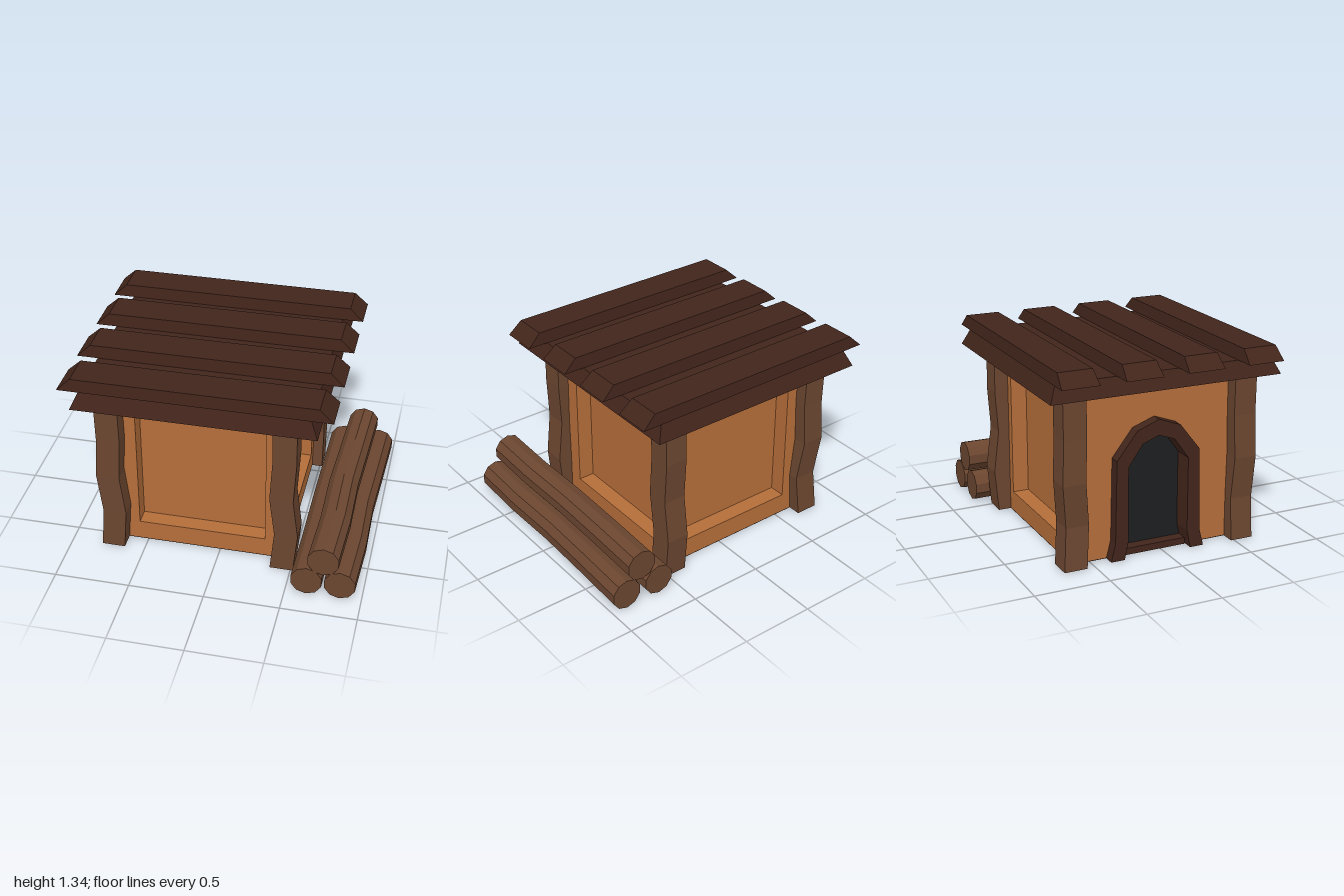
import * as THREE from 'three';

const mat = (color) => new THREE.MeshStandardMaterial({ color, flatShading: true });
const CX = -0.125, CZ = -0.055; // centre of the hut
const HALF = 0.57, DEPTH = 0.11; // half width of the hut, wall thickness

export function createModel() {
  const model = new THREE.Group();
  const plaster = mat(0xb56e3a), timber = mat(0x6b4630), dark = mat(0x42251b), black = mat(0x1c1e20);

  const add = (name, geometry, material, x = 0, y = 0, z = 0, turn = 0) => {
    const mesh = new THREE.Mesh(geometry, material);
    mesh.name = name;
    mesh.position.set(x, y, z);
    mesh.rotation.y = turn;
    model.add(mesh);
    return mesh;
  };

  // Box whose top is inset by tx and tz on each side
  const taperedBox = (w, h, d, tx, tz) => {
    const g = new THREE.BoxGeometry(w, h, d), p = g.attributes.position;
    for (let i = 0; i < p.count; i++) {
      if (p.getY(i) < 0) continue;
      p.setX(i, p.getX(i) - Math.sign(p.getX(i)) * tx);
      p.setZ(i, p.getZ(i) - Math.sign(p.getZ(i)) * tz);
    }
    g.computeVertexNormals();
    return g;
  };

  // Shift each ring of an upright, segmented solid by [dx, dz]
  const bend = (g, height, offsets) => {
    const p = g.attributes.position, n = offsets.length - 1;
    for (let i = 0; i < p.count; i++) {
      const [dx, dz] = offsets[Math.round((p.getY(i) / height + 0.5) * n)];
      p.setX(i, p.getX(i) + dx);
      p.setZ(i, p.getZ(i) + dz);
    }
    g.computeVertexNormals();
    return g;
  };

  const points = (list) => list.map(([x, y]) => new THREE.Vector2(x, y));
  const extrude = (shape, depth) => new THREE.ExtrudeGeometry(shape, { depth, bevelEnabled: false });
  const mirrored = (half) => [...half, ...half.filter(([x]) => x > 0).reverse().map(([x, y]) => [-x, y])];

  // Walls: three with a square recess, one with the doorway
  const window = [[0.43, 0.14], [0.43, 1], [-0.43, 1], [-0.43, 0.14]];
  const doorway = mirrored([[0.26, 0.03], [0.25, 0.64], [0.13, 0.8], [0, 0.85]]);
  const wall = (name, turn, half, hole) => {
    const shape = new THREE.Shape(points([[-half, 0.005], [half, 0.005], [half, 1.14], [-half, 1.14]]));
    shape.holes.push(new THREE.Path(points(hole)));
    const r = HALF - DEPTH;
    add(name, extrude(shape, DEPTH), plaster, CX + Math.sin(turn) * r, 0, CZ + Math.cos(turn) * r, turn);
  };
  wall('frontWall', 0, HALF, window);
  wall('backWall', Math.PI, HALF, window);
  wall('rightWall', Math.PI / 2, HALF - DEPTH, window);
  wall('doorWall', -Math.PI / 2, HALF - DEPTH, doorway);
  const core = 2 * (HALF - DEPTH);
  add('recessedPanels', new THREE.BoxGeometry(core, 1.13, core), plaster, CX, 0.57, CZ);
  add('floor', new THREE.BoxGeometry(2 * HALF, 0.005, 2 * HALF), dark, CX, 0.0025, CZ);

  // Arched door frame with a dark interior and a threshold
  const outer = [[-0.33, 0], [-0.3, 0.12], [-0.29, 0.67], [-0.15, 0.85], [0, 0.905]];
  const inner = [[0, 0.8], [-0.11, 0.76], [-0.21, 0.62], [-0.21, 0.12], [-0.235, 0]];
  const flip = (list) => list.filter(([x]) => x < 0).reverse().map(([x, y]) => [-x, y]);
  const frame = new THREE.Shape(points([...outer, ...flip(outer), ...flip(inner), ...inner]));
  add('doorFrame', extrude(frame, 0.14), dark, -0.63, 0, CZ, -Math.PI / 2);
  add('doorOpening', new THREE.BoxGeometry(0.05, 0.82, 0.48), black, -0.605, 0.44, CZ);
  add('threshold', new THREE.BoxGeometry(0.08, 0.045, 0.46), dark, -0.665, 0.0225, CZ);

  // Crooked corner posts
  const post = (name, x, z, offsets) => add(name,
    bend(new THREE.BoxGeometry(0.155, 1.14, 0.155, 1, 4, 1), 1.14, offsets), timber, x, 0.57, z);
  post('frontLeftPost', 0.439, 0.552, [[0, 0], [0.026, 0], [-0.009, 0.005], [0.006, 0], [0.003, 0]]);
  post('frontRightPost', -0.712, 0.552, [[0, 0], [0.022, 0], [-0.01, 0.005], [0.005, 0], [0, 0]]);
  post('backLeftPost', 0.439, -0.635, [[0, 0], [0, -0.025], [0, 0.012], [0, -0.007], [0, 0]]);
  post('backRightPost', -0.712, -0.635, [[0, 0], [0.02, 0.02], [-0.008, -0.008], [0.004, 0.004], [0, 0]]);

  // Roof deck with four planks on top
  add('roofDeck', taperedBox(1.57, 0.11, 1.57, 0.05, 0.05), dark, CX, 1.193, CZ);
  for (let i = 0; i < 4; i++) {
    add('roofPlank', taperedBox(1.75, 0.084, 0.247, 0.09, 0.01), dark, CX, 1.29, -0.683 + i * 0.417);
  }

  // Pile of three crooked logs, lying along z
  const drift = [-0.002, 0.014, 0.005, 0.022, 0.036];
  const log = (x, y, amount) => {
    const g = new THREE.CylinderGeometry(0.105, 0.105, 1.64, 10, 4);
    // The cylinder's bottom end becomes the front end
    bend(g, 1.64, drift.map((d, i) => [d * amount, [0, 0.002, -0.004, 0.003, 0][i]]));
    g.rotateX(-Math.PI / 2);
    add('log', g, timber, x, y, 0.01);
  };
  log(0.638, 0.105, 0.25);
  log(0.858, 0.105, 1);
  log(0.745, 0.278, 0.9);

  return model;
}
